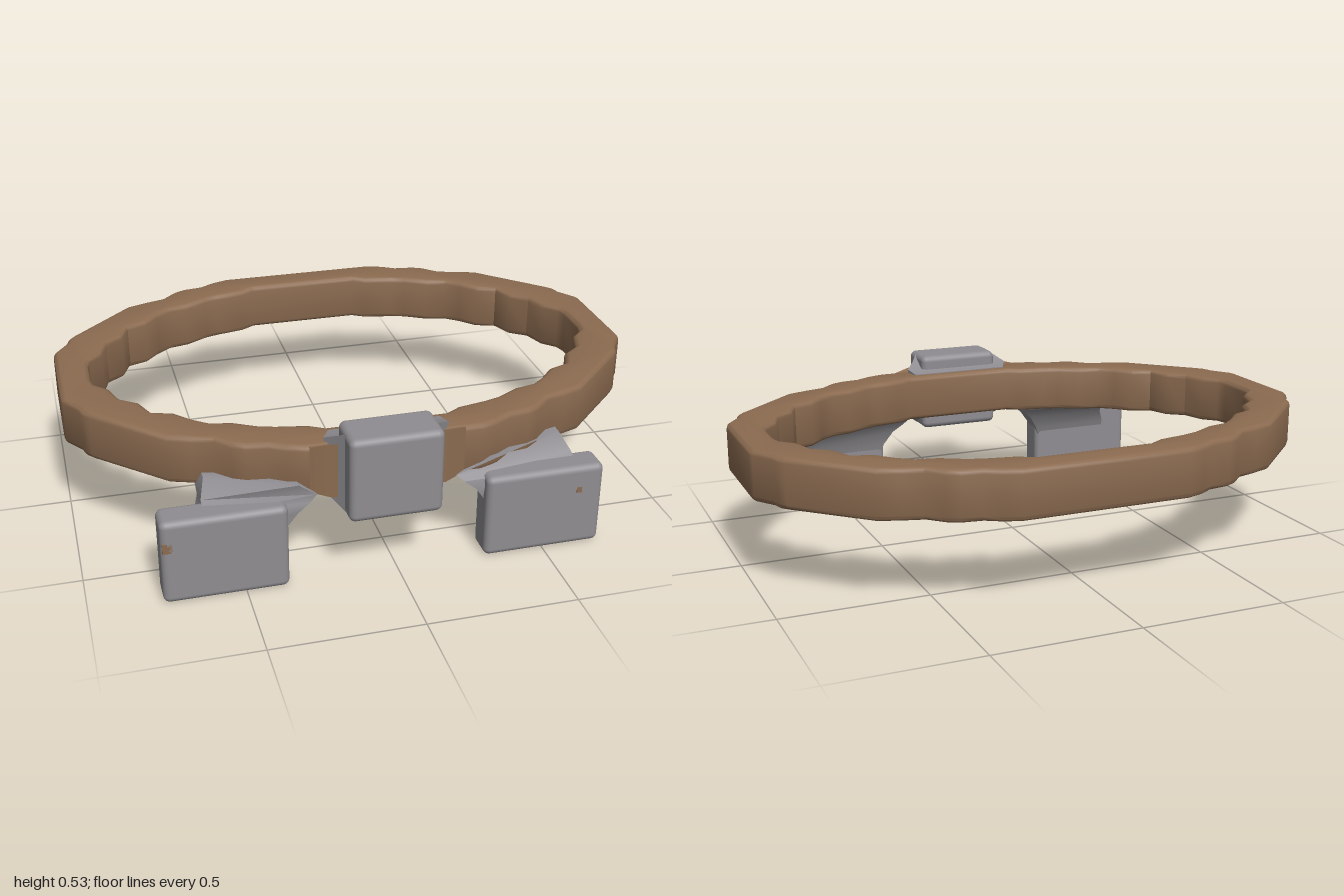
import * as THREE from 'three';
import { toCreasedNormals } from 'three/addons/utils/BufferGeometryUtils.js';
import { RoundedBoxGeometry } from 'three/addons/geometries/RoundedBoxGeometry.js';

const RING_Z = -0.06;

// Closed outline from one quadrant, mirrored in x and z
function outline(quadrant) {
  const q = quadrant.map(([x, y]) => new THREE.Vector2(x, y));
  const flip = (list, sx, sy) => list.map((p) => new THREE.Vector2(p.x * sx, p.y * sy));
  const r = [...q].reverse();
  return [...r, ...flip(q, -1, 1), ...flip(r, -1, -1), ...flip(q, 1, -1)];
}

// Solid skinned over cross-sections of equal length, capped at both ends
function loft(sections) {
  const n = sections[0].length;
  const index = [];
  for (let s = 0; s < sections.length - 1; s++) {
    for (let i = 0; i < n; i++) {
      const a = s * n + i, b = s * n + (i + 1) % n;
      index.push(a, b, b + n, a, b + n, a + n);
    }
  }
  const last = (sections.length - 1) * n;
  for (let i = 1; i < n - 1; i++) {
    index.push(0, i + 1, i, last, last + i, last + i + 1);
  }
  const g = new THREE.BufferGeometry();
  g.setAttribute('position', new THREE.Float32BufferAttribute(sections.flat(2), 3));
  g.setIndex(index);
  return toCreasedNormals(g, 0.8);
}

export function createModel() {
  const model = new THREE.Group();
  model.name = 'ovalRingWithBlocks';
  const wood = new THREE.MeshStandardMaterial({ color: 0x8b6b50 });
  wood.name = 'brown';
  const metal = new THREE.MeshStandardMaterial({ color: 0x8f8d91 });
  metal.name = 'grey';

  const add = (name, geometry, material, x = 0, y = 0, z = 0) => {
    const mesh = new THREE.Mesh(geometry, material);
    mesh.name = name;
    mesh.position.set(x, y, z);
    model.add(mesh);
    return mesh;
  };
  // Rounded block given by its limits
  const block = (name, x0, x1, y0, y1, z0, z1) => add(name,
    new RoundedBoxGeometry(x1 - x0, y1 - y0, z1 - z0, 3, 0.022), metal,
    (x0 + x1) / 2, (y0 + y1) / 2, (z0 + z1) / 2);

  // Oval ring with uneven, stepped edges
  const shape = new THREE.Shape(outline([
    [0.29, 0.705], [0.35, 0.685], [0.40, 0.655], [0.47, 0.645], [0.51, 0.625], [0.56, 0.575],
    [0.63, 0.555], [0.70, 0.53], [0.92, 0.315], [0.94, 0.29], [0.95, 0.255], [0.995, 0.19], [1.0, 0.17],
  ]));
  shape.holes.push(new THREE.Path(outline([
    [0.20, 0.59], [0.25, 0.56], [0.35, 0.54], [0.40, 0.525], [0.48, 0.48], [0.55, 0.465],
    [0.60, 0.425], [0.65, 0.37], [0.72, 0.345], [0.75, 0.27], [0.81, 0.225], [0.835, 0.145],
    [0.88, 0.10], [0.89, 0.06],
  ]).reverse()));
  const bevel = 0.018;
  const ring = new THREE.ExtrudeGeometry(shape, {
    depth: 0.17 - 2 * bevel, bevelEnabled: true, bevelThickness: bevel,
    bevelSize: bevel, bevelOffset: -bevel, bevelSegments: 3,
  });
  ring.rotateX(-Math.PI / 2);
  add('ovalRing', toCreasedNormals(ring, 0.65), wood, 0, 0.30 + bevel, RING_Z);

  // Centre block and the flare that joins it to the ring
  block('centreBlock', -0.18, 0.125, 0.24, 0.53, 0.60, 0.76);
  const rect = (x0, x1, y0, y1, z) => [[x0, y0, z], [x1, y0, z], [x1, y1, z], [x0, y1, z]];
  add('centreFlare', loft([
    rect(-0.20, 0.17, 0.298, 0.473, 0.56),
    rect(-0.23, 0.18, 0.292, 0.482, 0.62),
    rect(-0.20, 0.145, 0.265, 0.505, 0.66),
    rect(-0.175, 0.12, 0.245, 0.525, 0.70),
  ]), metal);
  // Ring-coloured fillets beside the flare
  for (const [name, xa, xb] of [['rightFillet', -0.28, -0.195], ['leftFillet', 0.14, 0.23]]) {
    const right = xa < 0;
    add(name, loft([
      rect(xa, xb, 0.30, 0.47, 0.62),
      rect(xa, xb, 0.305, 0.465, 0.645),
      rect(right ? xb - 0.02 : xa, right ? xb : xa + 0.02, 0.29, 0.48, 0.668),
    ]), wood);
  }

  // Hanging blocks with necks reaching up and back to the ring
  block('leftBlock', 0.295, 0.70, 0, 0.295, 0.59, 0.70);
  block('rightBlock', -0.765, -0.36, 0, 0.295, 0.59, 0.70);
  // Each row: height, inner x, inner back z, inner front z, outer x, outer front z, outer back z
  const neckRows = [
    [0.14, 0.32, 0.60, 0.66, 0.66, 0.66, 0.60],
    [0.20, 0.298, 0.585, 0.66, 0.66, 0.66, 0.585],
    [0.25, 0.265, 0.57, 0.67, 0.635, 0.67, 0.555],
    [0.28, 0.225, 0.56, 0.665, 0.62, 0.66, 0.52],
    [0.303, 0.20, 0.55, 0.658, 0.62, 0.60, 0.47],
    [0.345, 0.32, 0.60, 0.66, 0.60, 0.535, 0.47],
  ];
  for (const [name, side, shift] of [['leftNeck', 1, 0], ['rightNeck', -1, 0.06]]) {
    add(name, loft(neckRows.map(([y, xi, ib, f, xo, of, ob], k) => {
      const x = xi + (k < 5 ? shift : 0);
      const pts = [[x, ib], [x, f], [xo, of], [xo, ob]].map(([px, pz]) => [px * side, y, pz]);
      return side < 0 ? pts.reverse() : pts;
    })), metal);
  }

  // Small brown marks on the hanging blocks
  add('rightMark', new THREE.BoxGeometry(0.033, 0.035, 0.006), wood, -0.743, 0.205, 0.697);
  add('leftMark', new THREE.BoxGeometry(0.018, 0.02, 0.006), wood, 0.615, 0.21, 0.699);

  return model;
}
